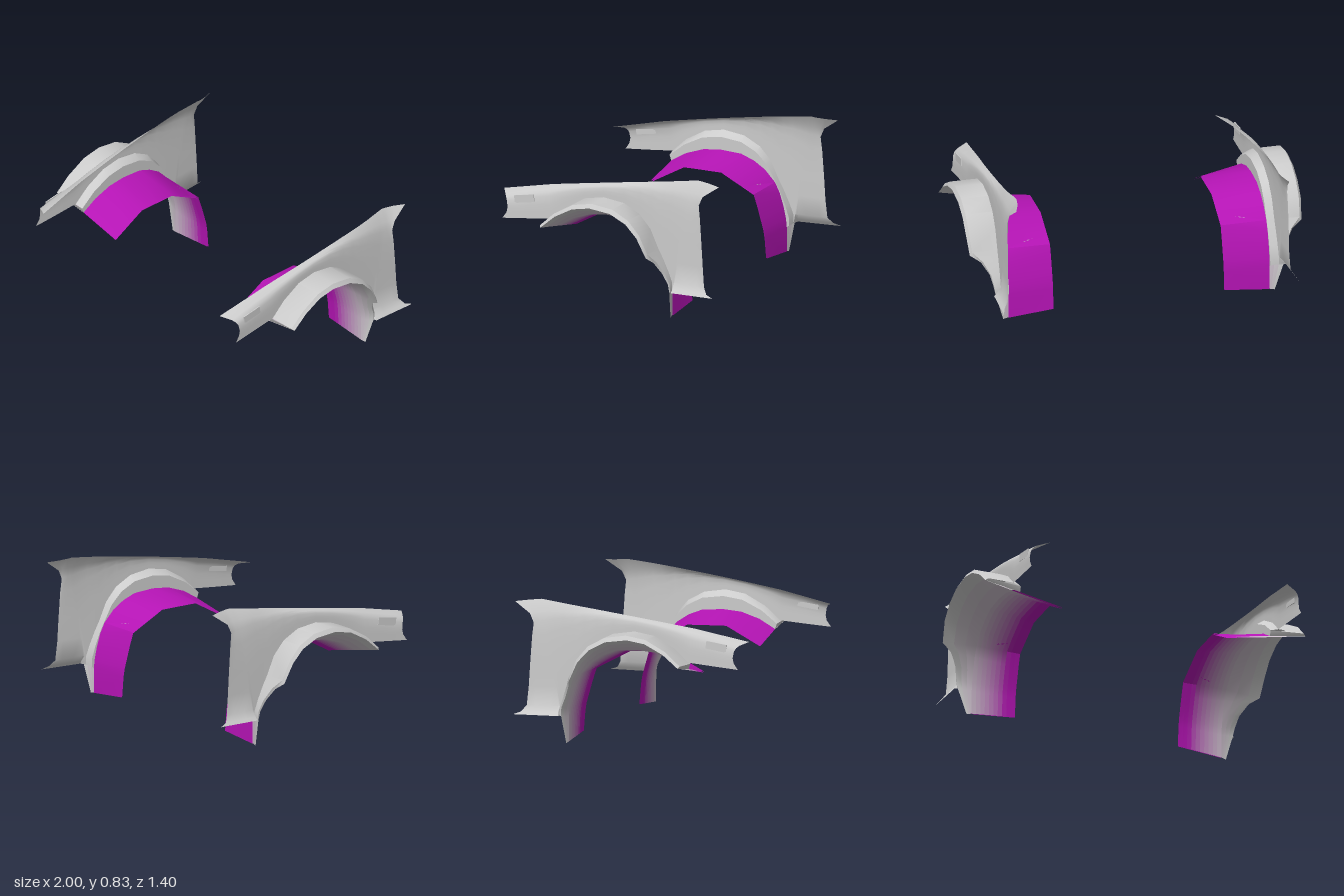
import * as THREE from 'three';
import { toCreasedNormals } from 'three/addons/utils/BufferGeometryUtils.js';

const GREY = new THREE.Color(0xcccccc);
const PURPLE = new THREE.Color(0xb414b4);

// Arch profiles, each point [z, y, x], running from the front over the wheel to the back
const crown = [
  [0.36, 0.51, 0.985], [0.27, 0.59, 0.985], [0.15, 0.655, 0.985], [0.03, 0.675, 0.985],
  [-0.1, 0.655, 0.985], [-0.2, 0.6, 0.985], [-0.27, 0.52, 0.985], [-0.32, 0.41, 0.978],
  [-0.35, 0.355, 0.92], [-0.385, 0.28, 0.88], [-0.41, 0.215, 0.868], [-0.41, 0.165, 0.86],
];
const rim = [
  [0.35, 0.5, 1], [0.26, 0.575, 1], [0.15, 0.632, 1], [0.04, 0.65, 1],
  [-0.09, 0.632, 1], [-0.19, 0.58, 1], [-0.26, 0.505, 1], [-0.315, 0.39, 0.99],
  [-0.337, 0.35, 0.93], [-0.37, 0.28, 0.885], [-0.4, 0.215, 0.87], [-0.405, 0.165, 0.86],
  [-0.39, 0, 0.81],
];
const linerOuter = [
  [0.345, 0.465], [0.25, 0.52], [0.14, 0.556], [0.03, 0.566], [-0.1, 0.556], [-0.18, 0.525], [-0.25, 0.48],
  [-0.315, 0.41], [-0.345, 0.35], [-0.37, 0.27], [-0.385, 0.2], [-0.39, 0.15], [-0.39, 0.005],
].map(([z, y]) => [z, y, 0.78]);
const linerInner = [
  [0.35, 0.41], [0.245, 0.465], [0.14, 0.52], [0.03, 0.518], [-0.1, 0.515], [-0.17, 0.478], [-0.24, 0.442],
  [-0.31, 0.405], [-0.335, 0.33], [-0.355, 0.26], [-0.372, 0.2], [-0.38, 0.15], [-0.39, 0.03],
].map(([z, y]) => [z, y, 0.51]);

const bodyX = z => 0.822 + 0.045 * z * z;
const mix = (A, B, t) => A.map((p, i) => p.map((v, k) => v + (B[i][k] - v) * t));

// Skin over rows of [z, y, x] points; s mirrors the surface in x
function skin(rows, s, crease = 0.6) {
  const n = rows[0].length, pos = [], idx = [];
  rows.forEach(row => row.forEach(([z, y, x]) => pos.push(x * s, y, z)));
  for (let r = 0; r < rows.length - 1; r++) {
    for (let c = 0; c < n - 1; c++) {
      const a = r * n + c, b = a + 1, d = a + n, e = d + 1;
      if (s > 0) idx.push(a, b, d, b, e, d);
      else idx.push(a, d, b, b, d, e);
    }
  }
  const g = new THREE.BufferGeometry();
  g.setAttribute('position', new THREE.Float32BufferAttribute(pos, 3));
  g.setIndex(idx);
  return toCreasedNormals(g, crease);
}

function add(group, name, geometry, color) {
  const mesh = new THREE.Mesh(geometry, new THREE.MeshStandardMaterial({ color, side: THREE.DoubleSide }));
  mesh.name = name;
  group.add(mesh);
  return mesh;
}

// Fender skin: columns from bottom edge to top edge, front to back
function panelRows() {
  const topZ = [0.38, 0.28, 0.15, 0.03, -0.1, -0.2, -0.28, -0.36, -0.42, -0.47, -0.51, -0.54];
  const topY = z => z > 0.38 ? 0.635 + (0.7 - z) * 0.203
    : z > -0.55 ? 0.7 + (0.38 - z) * 0.14 - 0.02 * (z - 0.38) * (z + 0.55)
    : 0.83 + (z + 0.55) * 0.1;
  const cols = [[0.665, 0.485, 0.7], [0.6, 0.49, 0.62], [0.5, 0.498, 0.52]];
  crown.forEach(([z, y], i) => cols.push([z, y, topZ[i]]));
  const sillStart = cols.length;
  cols.push([-0.42, 0.165, -0.55], [-0.5, 0.165, -0.58], [-0.6, 0.165, -0.63], [-0.69, 0.165, -0.7]);

  const ts = [0, 0.025, 0.08, 0.25, 0.45, 0.7, 0.82, 0.9, 1];
  const frontInset = [0, 0.004, 0.012, 0.035, 0.048, 0.05, 0.045, 0.035, 0];
  const backInset = [0, 0.045, 0.072, 0.084, 0.094, 0.108, 0.118, 0.095, 0];
  const curl = [0, 0, 0, 0, 0, 0.05, 0.15, 0.35, 1];
  const topEdge = new THREE.CatmullRomCurve3(
    [[-0.7, 0.815], [-0.58, 0.778], [-0.4, 0.79], [0, 0.785], [0.38, 0.765], [0.7, 0.74]]
      .map(([z, x]) => new THREE.Vector3(x, 0, z))).getPoints(80);
  const topX = z => topEdge.reduce((a, b) => Math.abs(b.z - z) < Math.abs(a.z - z) ? b : a).x;

  return ts.map((t, r) => cols.map(([bz, by, tz], c) => {
    const back = [0.2, 0.45, 1][c - (cols.length - 3)] || 0;
    const front = [1, 0.5][c] || 0;
    const z = bz + (tz - bz) * t - frontInset[r] * front + backInset[r] * back;
    const y = by + (topY(tz) - by) * t;
    const body = bodyX(z);
    // outward turned sill at the bottom behind the wheel
    const sill = c >= sillStart ? [0.042, 0.03, 0.005][r] || 0 : 0;
    return [z, y, body + (topX(tz) - body) * curl[r] + sill];
  }));
}

function createSide(s) {
  const side = new THREE.Group();
  side.name = s > 0 ? 'leftFender' : 'rightFender';
  add(side, 'fenderPanel', skin(panelRows(), s, 0.7), GREY);

  // Wide wheel arch flare meeting the panel edge, with its lip stepping down to the liner
  const linerTop = linerOuter.slice(0, crown.length);
  const seam = crown.map(([z, y]) => [z, y, bodyX(z)]);
  const lip = mix(crown, linerTop, 0.3).map(([z, y]) => [z, y, 0.78]);
  add(side, 'archFlare', skin([rim.slice(0, crown.length), crown, seam, lip, linerTop], s), GREY);
  add(side, 'flareFrontCap', skin([[rim[0], linerOuter[0]], [crown[0], lip[0]]], s), GREY);

  // Wheel well liner: purple outside, its inner face blending from grey to purple
  add(side, 'linerOutside', skin([linerOuter, linerInner], s), PURPLE);
  const inset = p => p.map(([z, y, x]) => [z * 0.985, y - 0.006 * THREE.MathUtils.smoothstep(y, 0.05, 0.3), x]);
  const bands = (A, B, n, from, to) => {
    for (let i = 0; i < n; i++) {
      const rows = [mix(B, A, 1 - (i + 1) / n), mix(B, A, 1 - i / n)];
      const color = GREY.clone().lerp(PURPLE, Math.min(1, from + (to - from) * (i + 0.5) / n));
      add(side, 'linerInside', skin(rows, s), color);
    }
  };
  bands(rim, inset(linerOuter), 3, 0, 0.2);
  bands(inset(linerOuter), inset(linerInner), 10, 0.2, 1.25);

  // Slim side marker near the nose
  const marker = add(side, 'sideMarker', new THREE.BoxGeometry(0.006, 0.045, 0.125), GREY);
  marker.position.set(0.832 * s, 0.612, 0.53);
  marker.rotation.x = 0.15;
  return side;
}

export function createModel() {
  const model = new THREE.Group();
  model.name = 'frontFenders';
  model.add(createSide(1), createSide(-1));
  return model;
}
